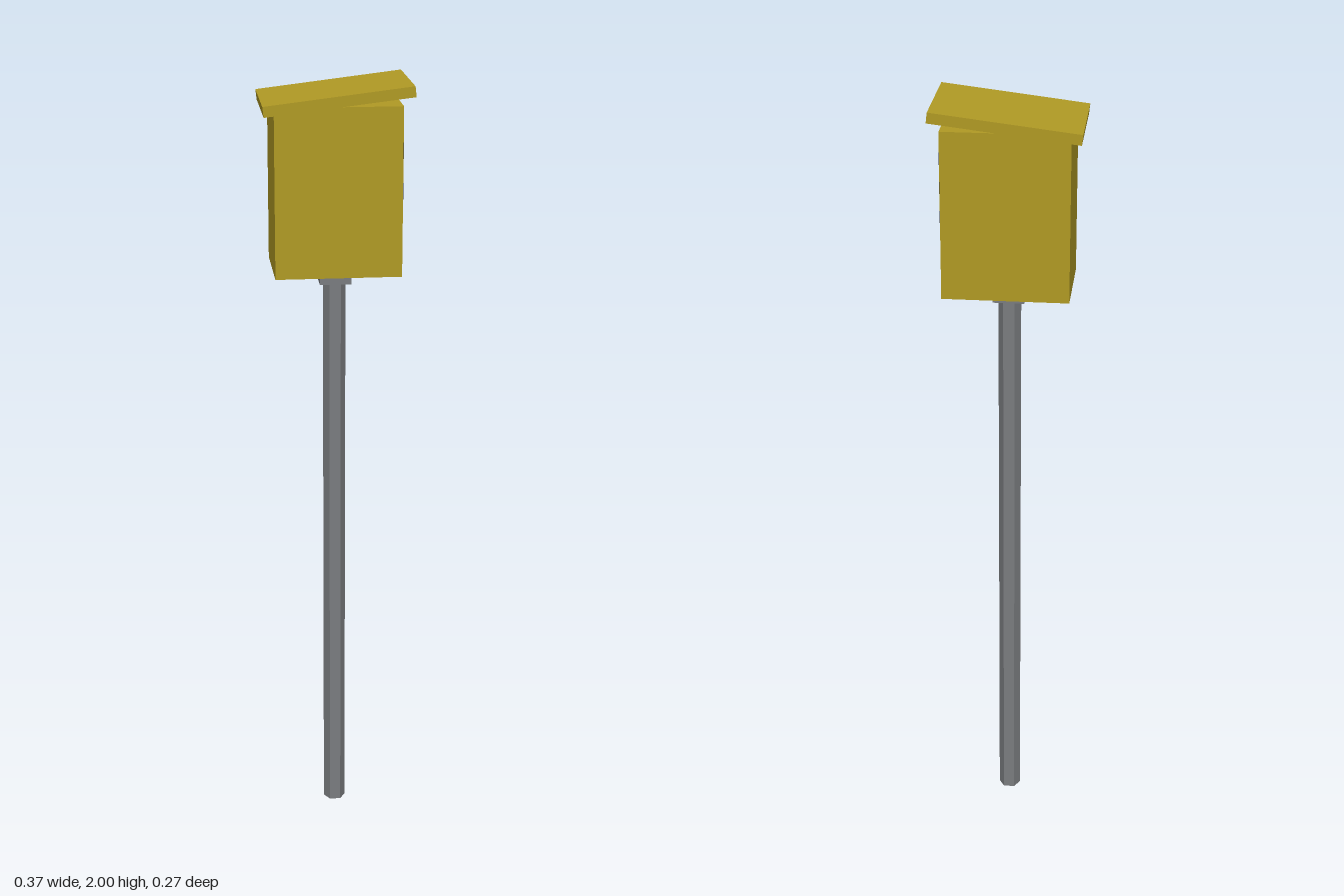
import * as THREE from 'three';

const yellow = new THREE.MeshStandardMaterial({ color: 0xb09a24 });
yellow.name = 'mustard yellow';
const grey = new THREE.MeshStandardMaterial({ color: 0x7a7c7f, flatShading: true });
grey.name = 'steel grey';
const black = new THREE.MeshStandardMaterial({ color: 0x303030 });
black.name = 'dark panel';

export function createModel() {
  const group = new THREE.Group();
  group.name = 'cabinetOnPole';

  function add(name, geometry, material, x, y, z = 0) {
    const mesh = new THREE.Mesh(geometry, material);
    mesh.name = name;
    mesh.position.set(x, y, z);
    group.add(mesh);
    return mesh;
  }
  const box = (w, h, d) => new THREE.BoxGeometry(w, h, d);

  // Hexagonal pole with its corners on the x axis
  const pole = add('pole', new THREE.CylinderGeometry(0.029, 0.029, 1.49, 6), grey, 0, 0.745);
  pole.rotation.y = Math.PI / 2;

  // Square collar between pole and cabinet
  add('collar', box(0.08, 0.037, 0.08), grey, 0, 1.5065);

  // Cabinet with a dark panel on its +x side
  add('cabinet', box(0.317, 0.425, 0.238), yellow, 0, 1.7375);
  add('panel', box(0.006, 0.228, 0.18), black, 0.16, 1.79);

  // Roof slab, rising toward the panel side
  const roof = add('roof', box(0.373, 0.0265, 0.266), yellow, 0, 1.965);
  roof.rotation.z = 0.117;

  return group;
}
